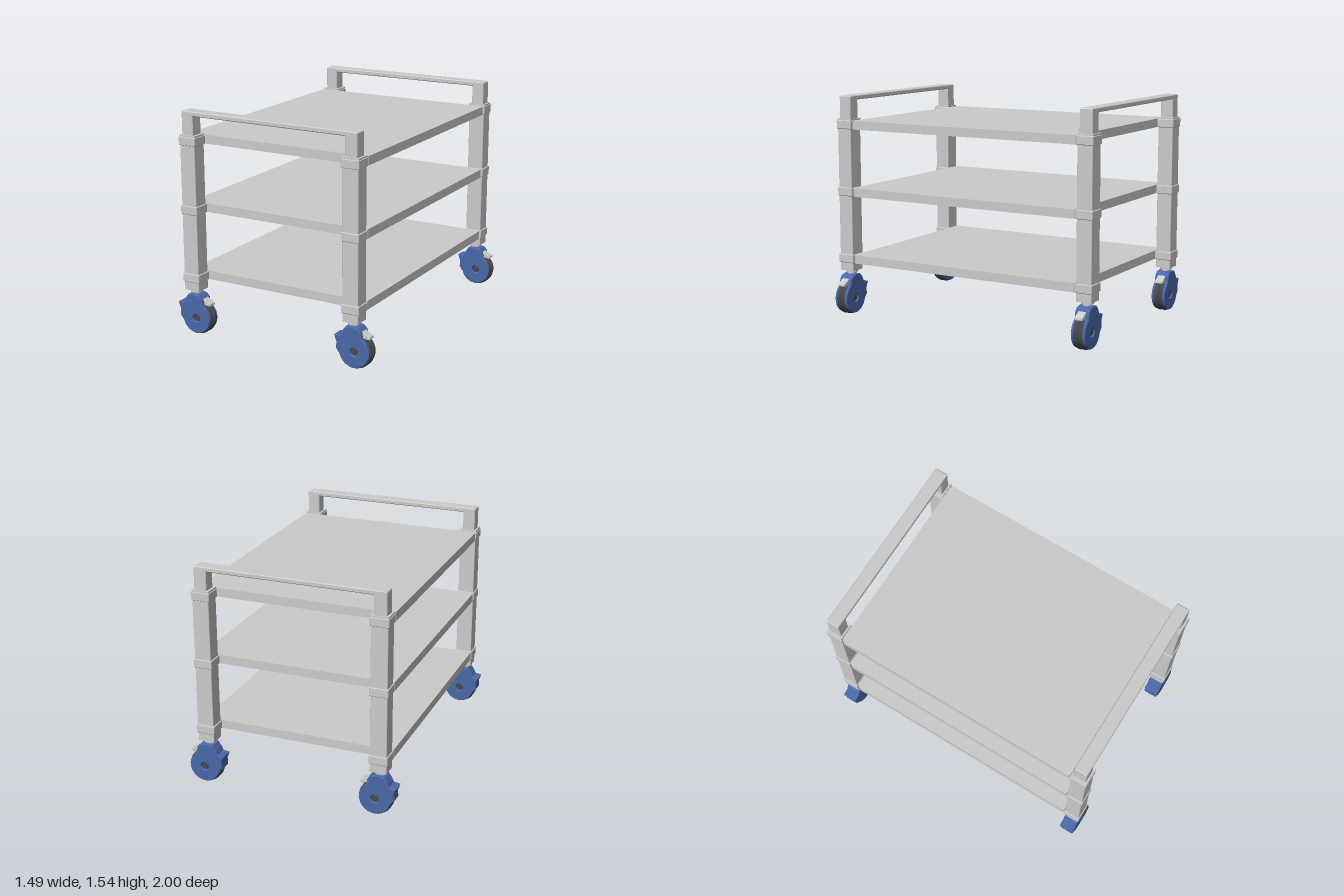
import * as THREE from 'three';

const grey = new THREE.MeshStandardMaterial({ color: 0xcccccc });
const blue = new THREE.MeshStandardMaterial({ color: 0x4a68a8 });
const dark = new THREE.MeshStandardMaterial({ color: 0x4a4a4a });

const CX = -0.01;          // middle of the frame
const POST_X = 0.6125;     // post offset from the middle
const POST_Z = 0.939;
const LEVELS = [0.37, 0.845, 1.315];

function add(parent, name, geometry, material, x = 0, y = 0, z = 0) {
  const mesh = new THREE.Mesh(geometry, material);
  mesh.name = name;
  mesh.position.set(x, y, z);
  parent.add(mesh);
  return mesh;
}

// Extrusion along z, centred, whose bevel stays inside the outline and depth
function slab(shape, depth, bevel = 0, segments = 1, thickness = bevel) {
  const geometry = new THREE.ExtrudeGeometry(shape, {
    depth: depth - 2 * thickness, bevelEnabled: bevel > 0, bevelSize: bevel,
    bevelThickness: thickness, bevelOffset: -bevel, bevelSegments: segments, curveSegments: 20,
  });
  return geometry.translate(0, 0, -depth / 2 + thickness);
}

const polygon = (points) => new THREE.Shape(points.map(([x, y]) => new THREE.Vector2(x, y)));

function roundedRect(w, d, r) {
  const s = new THREE.Shape();
  const x = w / 2 - r, y = d / 2 - r;
  s.absarc(x, y, r, 0, Math.PI / 2);
  s.absarc(-x, y, r, Math.PI / 2, Math.PI);
  s.absarc(-x, -y, r, Math.PI, Math.PI * 1.5);
  s.absarc(x, -y, r, Math.PI * 1.5, Math.PI * 2);
  s.closePath();
  return s;
}

// Upright block with rounded plan corners, standing on its base
function block(w, h, d, r, bevel = 0) {
  return slab(roundedRect(w, d, r), h, bevel).rotateX(-Math.PI / 2).translate(0, h / 2, 0);
}

function createCaster() {
  const caster = new THREE.Group();
  caster.name = 'caster';
  const wx = 0.024, wy = 0.116;

  // Swivel stem
  add(caster, 'stem', new THREE.CylinderGeometry(0.032, 0.032, 0.06, 24), grey, 0, 0.292);
  add(caster, 'stemWasher', new THREE.CylinderGeometry(0.043, 0.043, 0.012, 24), grey, 0, 0.303);

  // Fork shell: crown and rear spur, shared by the cheeks and the bridge
  const crown = [[0.083, 0.214], [0.075, 0.255], [0.052, 0.28], [0, 0.29], [-0.04, 0.278],
    [-0.063, 0.245], [-0.075, 0.218], [-0.122, 0.21], [-0.105, 0.165], [-0.108, 0.12], [-0.083, 0.088]];
  const cheek = polygon(crown);
  cheek.absarc(wx, wy, 0.11, Math.PI * 1.1, Math.PI * 2.22);
  cheek.closePath();
  const hole = new THREE.Path();
  hole.absarc(wx, wy, 0.026, 0, Math.PI * 2);
  cheek.holes.push(hole);
  const cheekGeometry = slab(cheek, 0.034, 0.008, 4, 0.014);
  for (const side of [1, -1]) add(caster, 'forkCheek', cheekGeometry, blue, 0, 0, side * 0.034);
  add(caster, 'forkBridge', slab(polygon(crown), 0.05), blue);

  // Twin-tread wheel and axle
  const half = [[0.02, 0.036], [0.104, 0.036], [0.112, 0.031], [0.116, 0.022], [0.116, 0.013],
    [0.111, 0.006], [0.104, 0.003]];
  const profile = [...half.map(([r, z]) => [r, -z]), ...half.reverse()]
    .map(([r, z]) => new THREE.Vector2(r, z));
  add(caster, 'wheel', new THREE.LatheGeometry(profile, 48).rotateX(Math.PI / 2), dark, wx, wy);
  add(caster, 'axle', new THREE.CylinderGeometry(0.019, 0.019, 0.088, 20).rotateX(Math.PI / 2), dark, wx, wy);

  // Brake pedal
  const pedal = polygon([[0.04, 0.225], [0.075, 0.213], [0.122, 0.207], [0.13, 0.213], [0.128, 0.226],
    [0.07, 0.259], [0.04, 0.262]]);
  add(caster, 'brakePedal', slab(pedal, 0.058, 0.004), grey);
  return caster;
}

function createHandle() {
  // Inverted U with a thin top bar
  const o = 0.6575, i = 0.57, base = 1.37, top = 1.545, under = 1.514;
  const shape = polygon([[-o, base], [-i, base], [-i, under], [i, under], [i, base], [o, base],
    [o, top - 0.006], [o - 0.006, top], [-o + 0.006, top], [-o, top - 0.006]]);
  return slab(shape, 0.092, 0.005);
}

export function createModel() {
  const model = new THREE.Group();
  model.name = 'trolley';

  const shelf = block(1.345, 0.06, 1.752, 0.02);
  for (const y of LEVELS) add(model, 'shelf', shelf, grey, CX - 0.002, y);

  const post = block(0.115, 1.068, 0.109, 0.006);
  const collar = block(0.13, 0.06, 0.122, 0.008, 0.004);
  const collarLip = block(0.122, 0.07, 0.115, 0.007);
  const handle = createHandle();

  for (const sz of [1, -1]) {
    add(model, 'handle', handle, grey, CX, 0, sz * POST_Z);
    for (const sx of [1, -1]) {
      const corner = new THREE.Group();
      corner.name = 'cornerPost';
      corner.position.set(CX + sx * POST_X, 0, sz * POST_Z);
      add(corner, 'post', post, grey, 0, 0.312);
      for (const y of LEVELS) {
        add(corner, 'collar', collar, grey, 0, y);
        if (y === LEVELS[2]) add(corner, 'collarLip', collarLip, grey, 0, y);
      }
      corner.add(createCaster());
      model.add(corner);
    }
  }
  return model;
}
